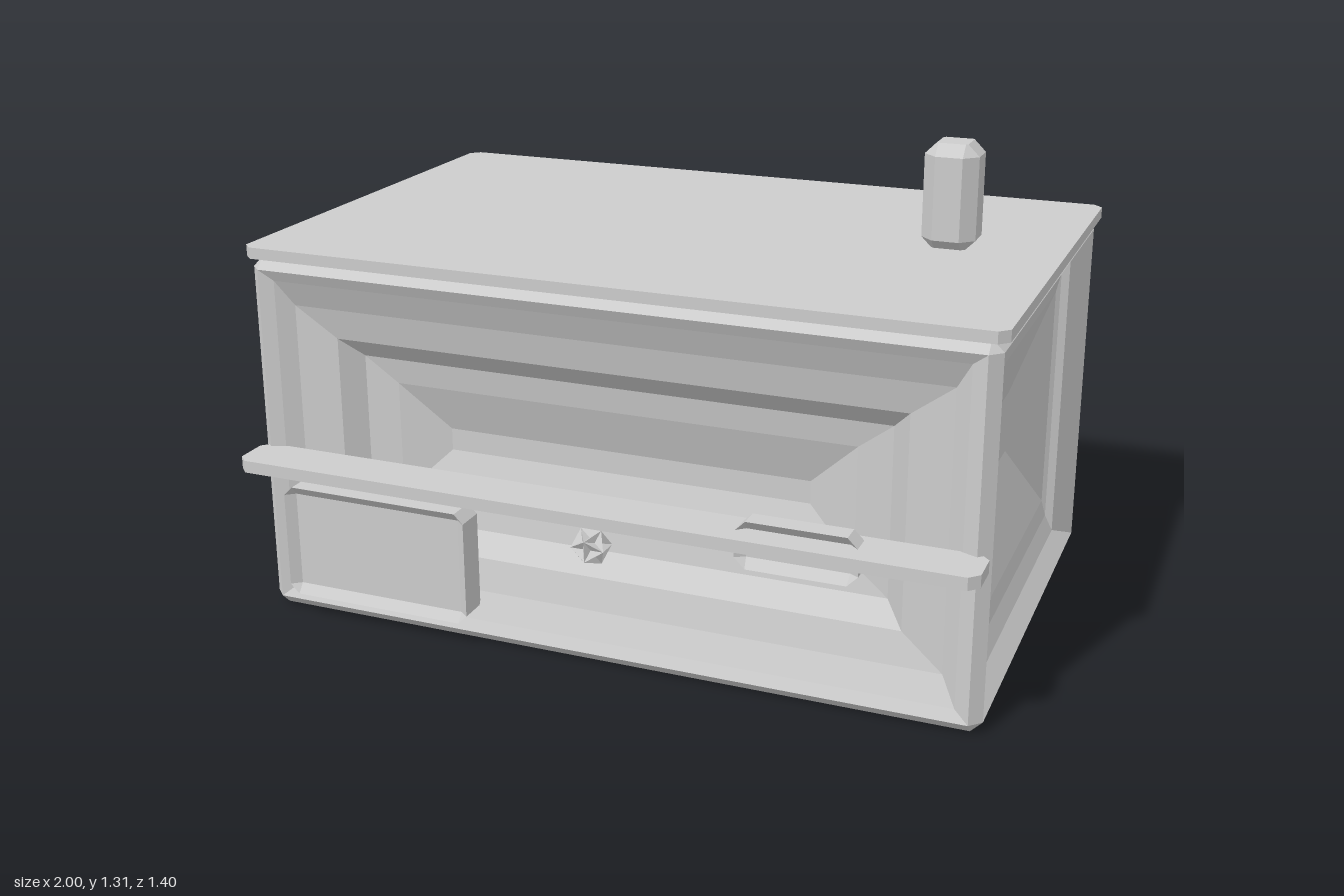
import * as THREE from 'three';

const grey = new THREE.MeshStandardMaterial({ color: 0xcccccc, flatShading: true });
grey.name = 'light grey';

// Rectangle with cut corners: half width, half height, corner cut, z
const ring = ([w, h, c, z]) => [
  [w, -h + c, z], [w, h - c, z], [w - c, h, z], [-w + c, h, z],
  [-w, h - c, z], [-w, -h + c, z], [-w + c, -h, z], [w - c, -h, z],
];

// Skin a row of rings along +z and close the last one
function loft(sections) {
  const rings = sections.map(ring);
  const pos = [];
  for (let i = 0; i + 1 < rings.length; i++) {
    const a = rings[i], b = rings[i + 1];
    for (let j = 0; j < 8; j++) {
      const k = (j + 1) % 8;
      pos.push(...a[j], ...a[k], ...b[k], ...a[j], ...b[k], ...b[j]);
    }
  }
  const e = rings[rings.length - 1];
  for (let j = 1; j < 7; j++) pos.push(...e[0], ...e[j], ...e[j + 1]);
  const g = new THREE.BufferGeometry();
  g.setAttribute('position', new THREE.Float32BufferAttribute(pos, 3));
  g.computeVertexNormals();
  return g;
}

// Closed block with cut corners and bevelled ends
const block = (w, h, c, z0, z1, b0, b1) => loft([
  [0, 0, 0, z0], [w - b0, h - b0, Math.max(c - b0, 0), z0], [w, h, c, z0 + b0],
  [w, h, c, z1 - b1], [w - b1, h - b1, Math.max(c - b1, 0), z1],
]);

// Closed plate with cut corners and a sunken front panel
const panel = (w, h, c, z0, z1, rim, sink) => loft([
  [0, 0, 0, z0], [w, h, c, z0], [w, h, c, z1],
  [w - rim, h - rim, 0, z1 - sink],
]);

export function createModel() {
  const model = new THREE.Group();
  const add = (name, geometry, x, y, z, parent = model) => {
    const m = new THREE.Mesh(geometry, grey);
    m.name = name;
    m.position.set(x, y, z);
    parent.add(m);
    return m;
  };

  // Body: six bevelled faces, the four walls dished inward in steps
  const W = 0.9875, H = 0.495, D = 0.6265, B = 0.03;
  const body = new THREE.Group();
  body.name = 'body';
  body.position.set(-0.0025, H, -0.0415);
  model.add(body);
  const face = (name, w, h, out, dish, rx, ry) => {
    const g = loft([
      [w, h, B, out - B], [w - B, h - B, 0, out],
      ...dish.map(([dw, dh, depth]) => [dw, dh, 0, out - depth]),
    ]);
    add(name, g, 0, 0, 0, body).rotation.set(rx, ry, 0);
  };
  const longDish = [
    [0.92, 0.435, 0.015], [0.88, 0.365, 0.045], [0.77, 0.28, 0.065],
    [0.72, 0.225, 0.115], [0.63, 0.155, 0.127], [0.5, 0.03, 0.17],
  ];
  const shortDish = [
    [0.48, 0.415, 0.04], [0.465, 0.365, 0.06], [0.45, 0.315, 0.07], [0.215, 0.085, 0.14],
  ];
  face('frontWall', W, H, D, longDish, 0, 0);
  face('backWall', W, H, D, longDish, 0, Math.PI);
  face('leftWall', D, H, W, shortDish, 0, Math.PI / 2);
  face('rightWall', D, H, W, shortDish, 0, -Math.PI / 2);
  face('ceiling', W, D, H, [], -Math.PI / 2, 0);
  face('base', W, D, H, [], Math.PI / 2, 0);

  // Roof slab, chimney and front ledge, built upward
  const upright = (name, g, x, y, z) => { add(name, g, x, y, z).rotation.x = -Math.PI / 2; };
  upright('roof', block(1, 0.638, 0.025, 0, 0.03, 0, 0), 0, 0.99, -0.045);
  upright('chimney', block(0.07, 0.07, 0.035, 0, 0.27, 0.025, 0.03), 0.715, 1.035, -0.043);
  upright('ledge', block(0.9875, 0.067, 0.025, 0, 0.033, 0, 0), -0.0025, 0.437, 0.633);

  // Front door and sign board
  add('door', panel(0.268, 0.155, 0.025, 0.55, 0.628, 0.025, 0.02), -0.632, 0.225, 0);
  add('signBoard', panel(0.155, 0.062, 0.028, 0.59, 0.645, 0.025, 0.02), 0.535, 0.433, 0);

  // Knob: twenty-sided ball with every face dented inward
  const ico = new THREE.IcosahedronGeometry(0.052).getAttribute('position');
  const dents = [];
  for (let i = 0; i < ico.count; i += 3) {
    const t = [0, 1, 2].map((k) => new THREE.Vector3().fromBufferAttribute(ico, i + k));
    const mid = t[0].clone().add(t[1]).add(t[2]).multiplyScalar(0.7 / 3);
    for (let k = 0; k < 3; k++) {
      for (const v of [t[k], t[(k + 1) % 3], mid]) dents.push(v.x, v.y, v.z);
    }
  }
  const knob = new THREE.BufferGeometry();
  knob.setAttribute('position', new THREE.Float32BufferAttribute(dents, 3));
  knob.computeVertexNormals();
  add('knob', knob, 0, 0.36, 0.633);

  // Back windows in two rows, with a small vent at the bottom
  const back = new THREE.Group();
  back.name = 'backWindows';
  back.rotation.y = Math.PI;
  model.add(back);
  for (const y of [0.795, 0.3]) {
    for (const x of [-0.74, -0.247, 0.247, 0.74]) {
      add('window', panel(0.11, 0.097, 0.033, 0.63, 0.7, 0.025, 0.025), x, y, 0, back);
    }
  }
  add('vent', panel(0.118, 0.05, 0.03, 0.63, 0.7, 0.025, 0.025), 0, 0.058, 0, back);

  return model;
}
